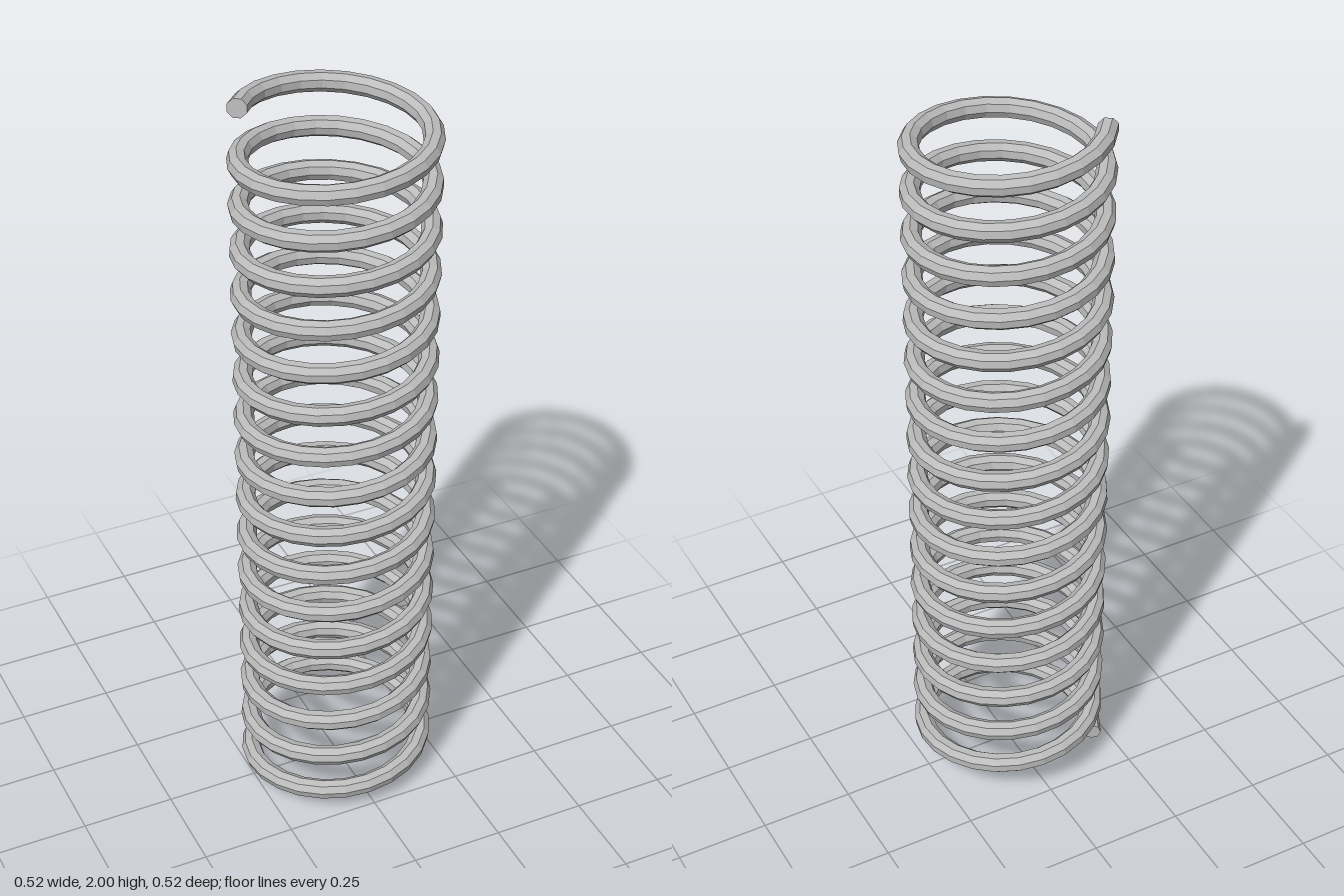
import * as THREE from 'three';

const TURNS = 16, COIL_RADIUS = 0.236, WIRE_RADIUS = 0.0265, SIDES = 8;
const START_ANGLE = -0.566, BOTTOM = 0.026, TOP = 1.974;

// Centre line of the wire: a constant-pitch helix
class Helix extends THREE.Curve {
  getPoint(t, target = new THREE.Vector3()) {
    const a = START_ANGLE + t * TURNS * Math.PI * 2;
    return target.set(
      -COIL_RADIUS * Math.cos(a),
      BOTTOM + (TOP - BOTTOM) * t,
      COIL_RADIUS * Math.sin(a)
    );
  }
}

export function createModel() {
  const steel = new THREE.MeshStandardMaterial({ color: 0xbcbcbc, flatShading: true });
  steel.name = 'steel';
  const group = new THREE.Group();
  group.name = 'coilSpring';

  // Coiled wire; the facets shift a little from turn to turn
  const path = new Helix();
  path.arcLengthDivisions = 800;
  const wire = new THREE.TubeGeometry(path, TURNS * 24 + 5, WIRE_RADIUS, SIDES, false);
  const coil = new THREE.Mesh(wire, steel);
  coil.name = 'coil';
  group.add(coil);

  // Flat cut ends, aligned with the first and last rings of the wire
  const addEnd = (name, index, t, facing) => {
    const cap = new THREE.CircleGeometry(WIRE_RADIUS, SIDES);
    const basis = new THREE.Matrix4().makeBasis(
      wire.normals[index],
      wire.binormals[index].clone().multiplyScalar(facing),
      wire.tangents[index].clone().multiplyScalar(facing)
    );
    basis.setPosition(path.getPoint(t));
    cap.applyMatrix4(basis);
    const end = new THREE.Mesh(cap, steel);
    end.name = name;
    group.add(end);
  };
  addEnd('bottomEnd', 0, 0, -1);
  addEnd('topEnd', wire.tangents.length - 1, 1, 1);

  return group;
}
